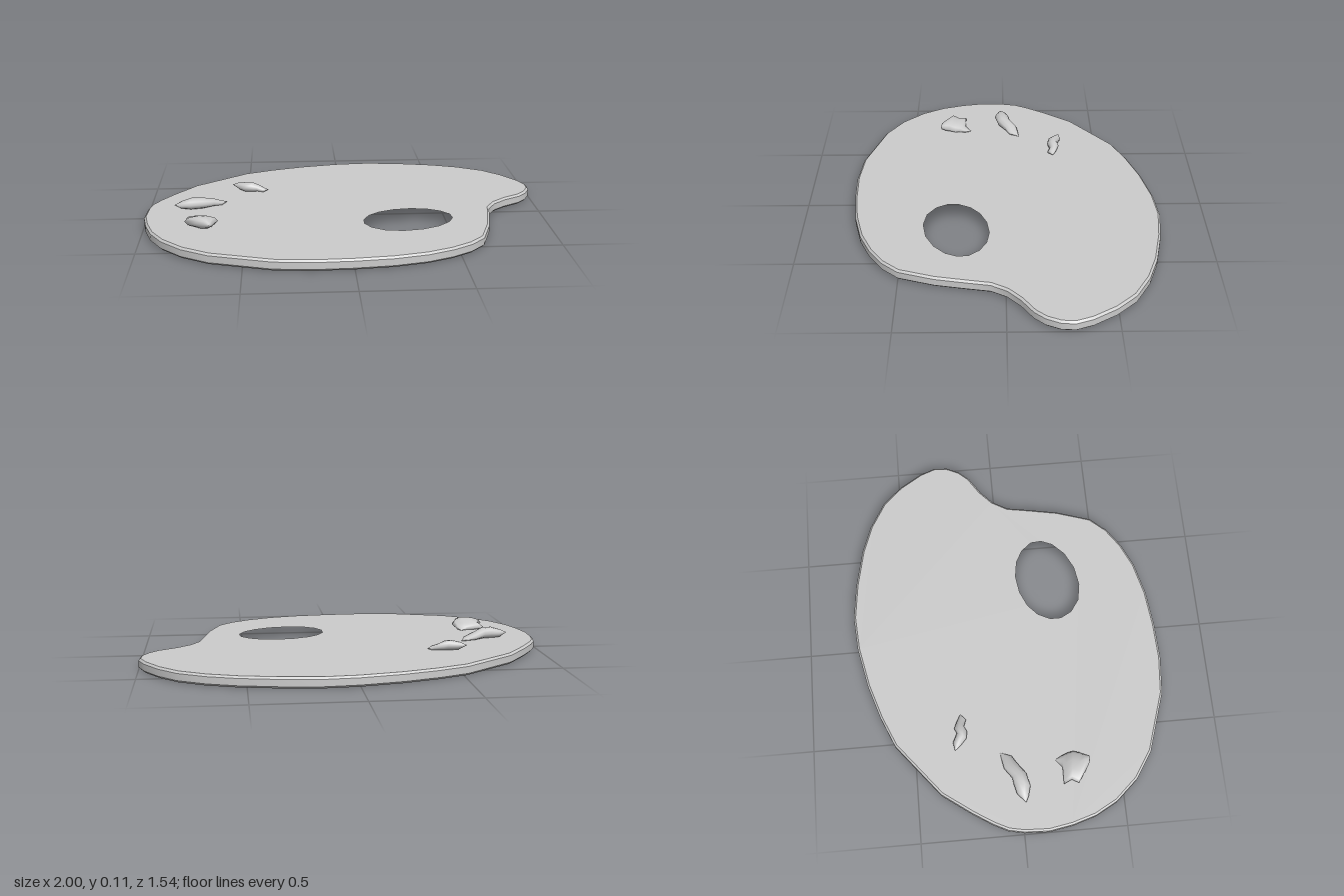
import * as THREE from 'three';
import { toCreasedNormals } from 'three/addons/utils/BufferGeometryUtils.js';

const material = new THREE.MeshStandardMaterial({ color: 0xcccccc });
const THICK = 0.053, BEVEL = 0.01;

// Board outline and thumb hole as [x, z]
const OUTLINE = [
  [0.17, -0.77], [0.35, -0.75], [0.54, -0.71], [0.68, -0.66], [0.81, -0.585], [0.9, -0.49],
  [0.97, -0.38], [1, -0.3], [0.995, -0.235], [0.965, -0.17], [0.92, -0.12], [0.835, -0.065],
  [0.77, -0.005], [0.727, 0.07], [0.71, 0.17], [0.68, 0.33], [0.625, 0.5], [0.555, 0.58],
  [0.46, 0.645], [0.34, 0.7], [0.18, 0.74], [0, 0.76], [-0.18, 0.767], [-0.365, 0.75],
  [-0.655, 0.655], [-0.785, 0.57], [-0.885, 0.46], [-0.945, 0.35], [-0.98, 0.235], [-1, 0.12],
  [-0.995, 0], [-0.98, -0.075], [-0.945, -0.145], [-0.885, -0.24], [-0.78, -0.385],
  [-0.52, -0.595], [-0.37, -0.66], [-0.2, -0.715], [0, -0.757],
];
const HOLE = [
  [0.325, 0.067], [0.41, 0.08], [0.475, 0.115], [0.52, 0.17], [0.525, 0.23], [0.5, 0.29],
  [0.44, 0.35], [0.355, 0.393], [0.255, 0.41], [0.165, 0.395], [0.1, 0.35], [0.068, 0.29],
  [0.068, 0.23], [0.1, 0.165], [0.155, 0.115], [0.235, 0.08],
];

// Paint dabs: sections of [left x, left z, right x, right z, bottom y, top y] along each dab
const DABS = {
  smallPaintDab: [
    [-0.58, -0.302, -0.58, -0.302, 0.08, 0.08],
    [-0.535, -0.31, -0.55, -0.27, 0.058, 0.095],
    [-0.49, -0.288, -0.52, -0.243, 0.05, 0.1],
    [-0.465, -0.299, -0.485, -0.236, 0.05, 0.098],
    [-0.43, -0.285, -0.455, -0.25, 0.05, 0.084],
    [-0.41, -0.275, -0.42, -0.237, 0.05, 0.072],
    [-0.39, -0.265, -0.39, -0.265, 0.06, 0.06],
  ],
  longPaintDab: [
    [-0.86, 0.02, -0.86, 0.02, 0.075, 0.075],
    [-0.815, -0.02, -0.83, 0.034, 0.055, 0.092],
    [-0.77, -0.032, -0.78, 0.048, 0.05, 0.107],
    [-0.735, -0.037, -0.715, 0.032, 0.05, 0.104],
    [-0.685, -0.072, -0.66, -0.008, 0.05, 0.088],
    [-0.64, -0.08, -0.622, -0.03, 0.05, 0.072],
    [-0.6, -0.085, -0.6, -0.085, 0.056, 0.056],
  ],
  widePaintDab: [
    [-0.66, 0.18, -0.66, 0.18, 0.056, 0.056],
    [-0.642, 0.215, -0.7, 0.212, 0.05, 0.074],
    [-0.633, 0.24, -0.785, 0.21, 0.05, 0.088],
    [-0.628, 0.27, -0.768, 0.25, 0.05, 0.1],
    [-0.638, 0.3, -0.788, 0.282, 0.05, 0.107],
    [-0.65, 0.325, -0.735, 0.318, 0.053, 0.104],
    [-0.658, 0.347, -0.7, 0.341, 0.065, 0.095],
    [-0.67, 0.35, -0.67, 0.35, 0.08, 0.08],
  ],
};

// The shape's y becomes -z once the board is laid flat
const toPoints = (list) => list.map(([x, z]) => new THREE.Vector2(x, -z));

function boardGeometry() {
  const shape = new THREE.Shape(toPoints(OUTLINE));
  shape.holes.push(new THREE.Path(toPoints(HOLE)));
  const geo = new THREE.ExtrudeGeometry(shape, {
    depth: THICK - 2 * BEVEL, bevelEnabled: true, bevelSegments: 1,
    bevelThickness: BEVEL, bevelSize: BEVEL, bevelOffset: -BEVEL,
  });
  geo.translate(0, 0, BEVEL);
  geo.rotateX(-Math.PI / 2);
  return toCreasedNormals(geo, 0.6);
}

// Skin of elliptical rings through the sections
function dabGeometry(sections, sides = 10) {
  const pos = [], index = [];
  sections.forEach(([ax, az, bx, bz, low, top], i) => {
    for (let j = 0; j < sides; j++) {
      const t = (j / sides) * Math.PI * 2, c = Math.cos(t) / 2, s = Math.sin(t) / 2;
      pos.push((ax + bx) / 2 + (ax - bx) * c, (low + top) / 2 + (top - low) * s, (az + bz) / 2 + (az - bz) * c);
      if (i === sections.length - 1) continue;
      const a = i * sides + j, b = i * sides + (j + 1) % sides;
      index.push(a, b, a + sides, b, b + sides, a + sides);
    }
  });
  const geo = new THREE.BufferGeometry();
  geo.setAttribute('position', new THREE.Float32BufferAttribute(pos, 3));
  geo.setIndex(index);
  geo.computeVertexNormals();
  return geo;
}

export function createModel() {
  const group = new THREE.Group();
  group.name = 'paintPalette';
  const add = (name, geo) => {
    const mesh = new THREE.Mesh(geo, material);
    mesh.name = name;
    group.add(mesh);
  };
  add('board', boardGeometry());
  for (const [name, sections] of Object.entries(DABS)) add(name, dabGeometry(sections));
  return group;
}
